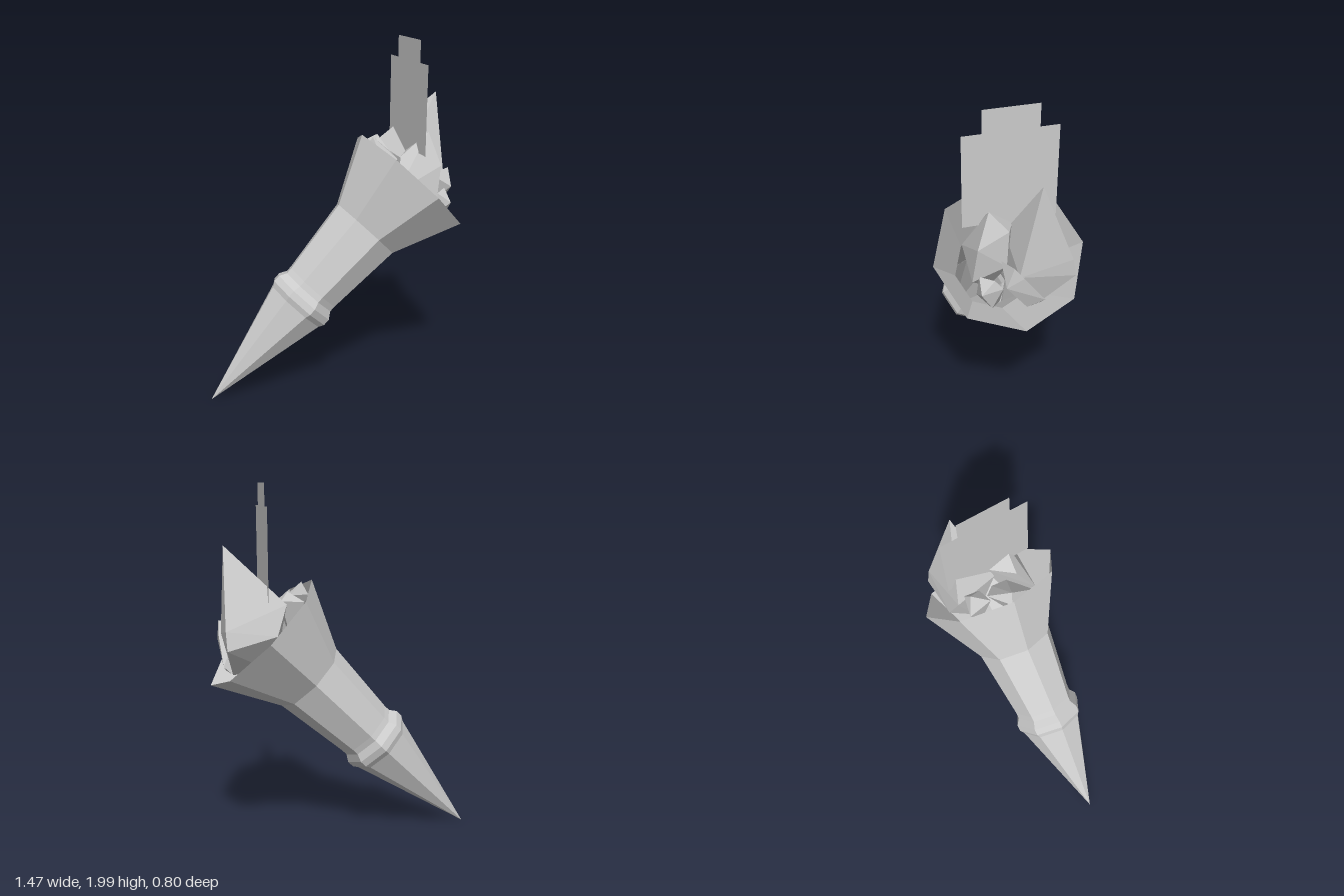
import * as THREE from 'three';
import { ConvexGeometry } from 'three/addons/geometries/ConvexGeometry.js';

const solid = new THREE.MeshStandardMaterial({ color: 0xcccccc, flatShading: true });
const open = new THREE.MeshStandardMaterial({ color: 0xcccccc, flatShading: true, side: THREE.DoubleSide });

export function createModel() {
  const model = new THREE.Group();
  const add = (name, geometry, material) => {
    const mesh = new THREE.Mesh(geometry, material);
    mesh.name = name;
    model.add(mesh);
    return mesh;
  };

  // Eight-sided holder: pointed tip, collar, shaft and flared open cup, leaning 45 degrees
  const profile = [[0, 0], [0.185, 0.72], [0.203, 0.75], [0.203, 0.79], [0.177, 0.83],
    [0.177, 0.865], [0.22, 1.31], [0.4, 1.683]];
  const holder = add('holder', new THREE.LatheGeometry(
    profile.map(([r, t]) => new THREE.Vector2(r, t)), 8), open);
  holder.rotation.z = -Math.PI / 4;
  holder.position.set(-0.738, 0.008, 0);

  // Faceted shards standing in the cup, each the hull of a few corners
  const shards = {
    tallShard: [[0.655, 1.68, -0.09], [0.665, 1.25, -0.26], [0.66, 1.15, -0.28], [0.67, 1.2, 0.02],
      [0.4, 1.22, -0.28], [0.345, 1.38, -0.24], [0.42, 1.32, 0.02], [0.62, 0.99, -0.1], [0.4, 1.0, -0.12]],
    middleShard: [[0.51, 1.5, 0.13], [0.45, 1.38, -0.01], [0.56, 1.4, 0.04], [0.56, 1.32, 0.2],
      [0.35, 1.37, 0.12], [0.3, 1.2, 0.21], [0.53, 1.12, 0.22], [0.42, 1.0, 0.1], [0.56, 1.2, 0.05]],
    slimShard: [[0.68, 1.265, 0.05], [0.56, 1.24, 0.08], [0.685, 1.16, 0.09], [0.685, 1.2, 0.0],
      [0.67, 1.04, -0.12], [0.65, 1.0, -0.03], [0.63, 1.0, -0.11], [0.5, 1.0, 0.0]],
    smallShard: [[0.62, 1.17, 0.13], [0.55, 1.16, 0.19], [0.63, 1.1, 0.2], [0.63, 1.12, 0.09],
      [0.61, 1.0, 0.14], [0.54, 0.98, 0.08], [0.5, 1.02, 0.19]],
    backShard: [[0.225, 1.47, 0.02], [0.19, 1.4, 0], [0.3, 1.41, -0.09], [0.36, 1.36, -0.03],
      [0.36, 1.34, 0.06], [0.24, 1.33, 0.16], [0.32, 1.1, 0.02]],
    backSideShard: [[0.33, 1.44, -0.17], [0.25, 1.39, -0.22], [0.37, 1.39, -0.19], [0.37, 1.36, -0.1],
      [0.28, 1.38, -0.08], [0.3, 1.15, -0.14]],
  };
  for (const [name, corners] of Object.entries(shards)) {
    add(name, new ConvexGeometry(corners.map((c) => new THREE.Vector3(...c))), solid);
  }

  // Thin upright flame card with stepped corners, facing along x
  const half = [[0.145, 1.27], [0.145, 1.39], [0.245, 1.39], [0.245, 1.88], [0.145, 1.88], [0.145, 2]];
  const outline = [...half, ...half.map(([z, y]) => [-z, y]).reverse()];
  const card = add('flameCard', new THREE.ShapeGeometry(
    new THREE.Shape(outline.map(([z, y]) => new THREE.Vector2(z, y)))), open);
  card.rotation.y = Math.PI / 2;
  card.position.x = 0.44;

  return model;
}
